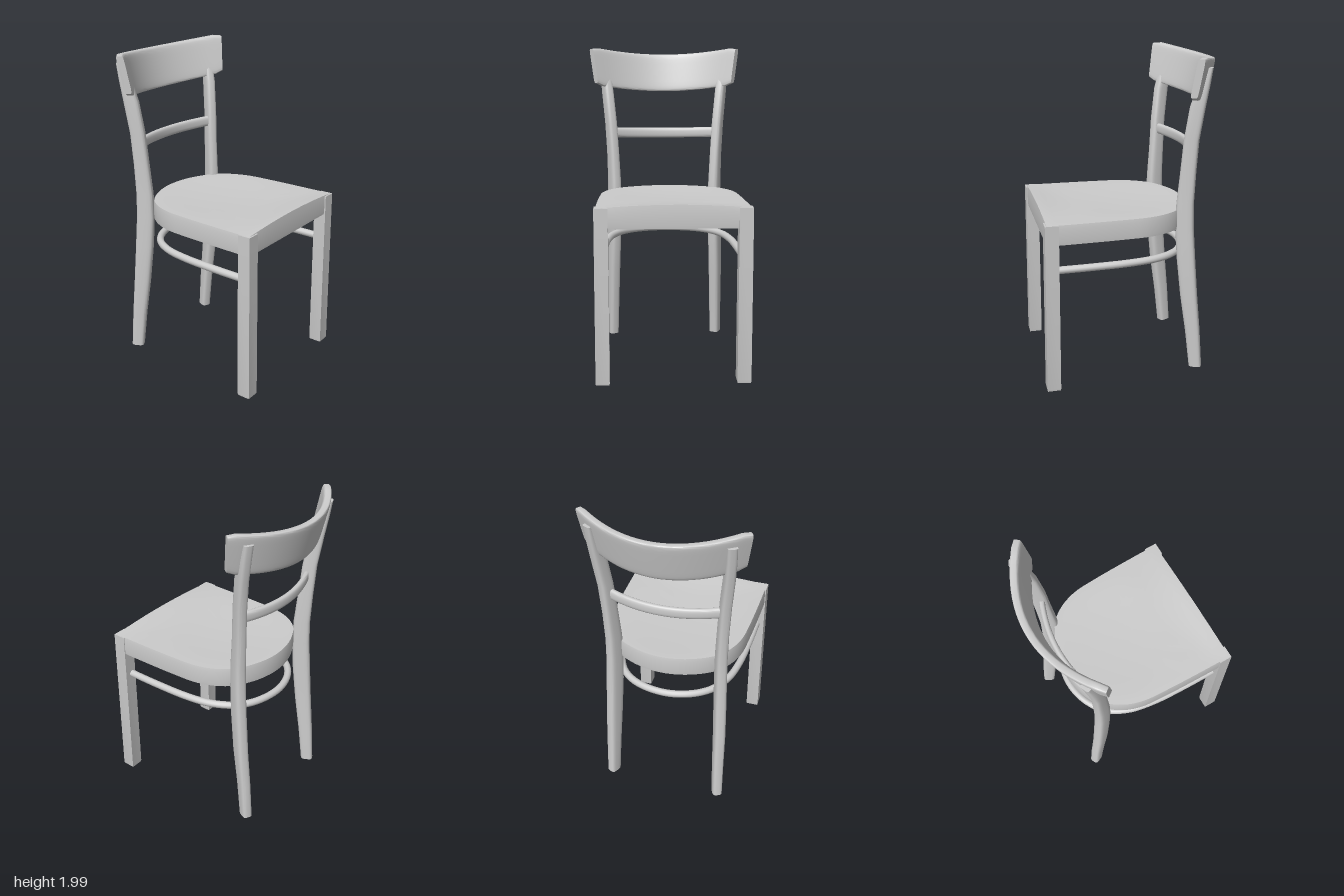
import * as THREE from 'three';
import { toCreasedNormals } from 'three/addons/utils/BufferGeometryUtils.js';

const material = new THREE.MeshStandardMaterial({ color: 0xcccccc });
const V = (x, y, z) => new THREE.Vector3(x, y, z);

// Closed solid through a list of equal-length rings, capped at both ends, facing outwards.
function loft(rings, crease = 0.7) {
  const n = rings[0].length;
  const pts = rings.flat();
  const index = [];
  for (let r = 0; r < rings.length - 1; r++) {
    for (let i = 0; i < n; i++) {
      const j = (i + 1) % n, a = r * n, b = a + n;
      index.push(a + i, a + j, b + j, a + i, b + j, b + i);
    }
  }
  [0, rings.length - 1].forEach((r, end) => {
    const c = pts.length;
    pts.push(rings[r].reduce((s, p) => s.add(p), V(0, 0, 0)).divideScalar(n));
    for (let i = 0; i < n; i++) {
      const p = r * n + i, q = r * n + (i + 1) % n;
      index.push(c, end ? p : q, end ? q : p);
    }
  });
  // Turn every face round if the signed volume comes out negative
  let volume = 0;
  for (let i = 0; i < index.length; i += 3) {
    volume += pts[index[i]].dot(V(0, 0, 0).crossVectors(pts[index[i + 1]], pts[index[i + 2]]));
  }
  if (volume < 0) index.reverse();
  const geometry = new THREE.BufferGeometry().setFromPoints(pts);
  geometry.setIndex(index);
  return toCreasedNormals(geometry, crease);
}

// Rounded rectangle section: pairs from -1 to 1
function section(count, power) {
  return Array.from({ length: count }, (_, i) => {
    const a = ((i + 0.5) / count) * Math.PI * 2;
    const f = (t) => Math.sign(t) * Math.abs(t) ** power;
    return [f(Math.cos(a)), f(Math.sin(a))];
  });
}

export function createModel() {
  const chair = new THREE.Group();
  chair.name = 'chair';
  const add = (name, geometry) => {
    const mesh = new THREE.Mesh(geometry, material);
    mesh.name = name;
    chair.add(mesh);
    return mesh;
  };

  // Seat: horseshoe outline with a straight front edge
  const half = [[0.55, 0.46], [0.3, 0.455], [0.08, 0.447], [-0.08, 0.433], [-0.2, 0.39],
    [-0.29, 0.32], [-0.355, 0.21], [-0.39, 0.1]];
  const spline = new THREE.CatmullRomCurve3([
    ...half.map(([x, z]) => V(x, 0, z)),
    V(-0.4, 0, 0),
    ...half.slice().reverse().map(([x, z]) => V(x, 0, -z)),
  ]);
  const outline = spline.getPoints(56);
  for (let i = 1; i < 10; i++) outline.push(V(0.55, 0, -0.46 + 0.092 * i));
  const seatTop = (x, z) => 1.062
    + 0.02 * THREE.MathUtils.smoothstep(x, 0.38, 0.55) * (1 - (z / 0.46) ** 2)
    - 0.012 * Math.max(0, 1 - (x * x + z * z) / 0.14);
  const seatRing = (scale, y) => outline.map((p) => {
    const x = 0.08 + (p.x - 0.08) * scale, z = p.z * scale;
    return V(x, y ?? seatTop(x, z), z - 0.015);
  });
  add('seat', loft([
    seatRing(0.1, 1.02), seatRing(0.88, 1.02), seatRing(0.88, 0.94), seatRing(0.995, 0.94),
    seatRing(1, 0.96), seatRing(1, 1.04), seatRing(0.992), seatRing(0.95),
    seatRing(0.85), seatRing(0.65), seatRing(0.45), seatRing(0.25), seatRing(0.05),
  ]));

  // Back posts: foot, seat joint and crest in one sweeping piece [x, y, z, depth, width]
  const post = [
    [-0.415, 0, 0.365, 0.04, 0.032], [-0.392, 0.25, 0.36, 0.046, 0.034],
    [-0.362, 0.5, 0.355, 0.053, 0.036], [-0.34, 0.75, 0.347, 0.057, 0.036],
    [-0.328, 0.95, 0.342, 0.056, 0.035], [-0.328, 1.1, 0.342, 0.053, 0.034],
    [-0.34, 1.3, 0.35, 0.048, 0.032], [-0.352, 1.5, 0.362, 0.046, 0.032],
    [-0.378, 1.7, 0.382, 0.046, 0.031], [-0.408, 1.83, 0.395, 0.036, 0.03],
    [-0.437, 1.93, 0.405, 0.02, 0.028],
  ];
  const postSection = section(20, 0.55);
  const turn = 0.45;
  for (const side of [1, -1]) {
    const rings = post.map(([x, y, z, d, w]) => postSection.map(([u, v]) => V(
      x + u * d * Math.cos(turn) + v * w * Math.sin(turn), y,
      side * (z - u * d * Math.sin(turn) + v * w * Math.cos(turn)))));
    add(side > 0 ? 'leftBackPost' : 'rightBackPost', loft(rings));
  }

  // Front legs: square and slightly tapered
  const legSection = [[-1, -1], [1, -1], [1, 1], [-1, 1]];
  for (const side of [1, -1]) {
    const rings = [[0.527, 0, 0.04], [0.527, 0.012, 0.042], [0.516, 1.062, 0.041]].map(([x, y, r]) =>
      legSection.map(([u, v]) => V(x + u * r, y, side * 0.423 - 0.015 + v * r)));
    add(side > 0 ? 'leftFrontLeg' : 'rightFrontLeg', loft(rings, 0.4));
  }

  // Crest rail: curved, leaning backwards, ends flaring upwards
  const crestSection = section(32, 0.3);
  const crestRings = [];
  for (let i = -12; i <= 12; i++) {
    const t = i / 12;
    const end = Math.abs(i) === 12 ? 0.9 : 1;
    crestRings.push(crestSection.map(([u, v]) => {
      const h = (v * end + 1) / 2;
      const z = t * (0.455 + 0.035 * h);
      const slope = Math.atan(1.6 * z);
      const thick = u * 0.025 * end;
      return V(
        -0.49 - 0.062 * h + 0.8 * z * z + thick * Math.cos(slope),
        1.705 + 0.045 * t * t + 0.25 * h,
        z - thick * Math.sin(slope));
    }));
  }
  add('crestRail', loft(crestRings));

  // Middle back rail: flat oval bar bowed backwards
  const railSection = section(16, 0.7);
  const railRings = [];
  for (let i = -8; i <= 8; i++) {
    const z = (i / 8) * 0.345;
    const slope = Math.atan(1.3 * z);
    railRings.push(railSection.map(([u, v]) => V(
      -0.413 + 0.6 * z * z + u * 0.018 * Math.cos(slope),
      1.425 + 0.07 * z * z + v * 0.034,
      z - u * 0.018 * Math.sin(slope))));
  }
  add('middleRail', loft(railRings));

  // Bent stretcher running from one front leg round the back to the other
  const bend = [[0.51, 0.412], [0.25, 0.408], [0.03, 0.395], [-0.14, 0.36], [-0.27, 0.285], [-0.35, 0.17]];
  const path = new THREE.CatmullRomCurve3([
    ...bend.map(([x, z]) => V(x, 0.768, z - 0.012)),
    V(-0.385, 0.768, 0),
    ...bend.slice().reverse().map(([x, z]) => V(x, 0.768, -z - 0.012)),
  ]);
  add('stretcher', new THREE.TubeGeometry(path, 64, 0.023, 12, false));

  return chair;
}
